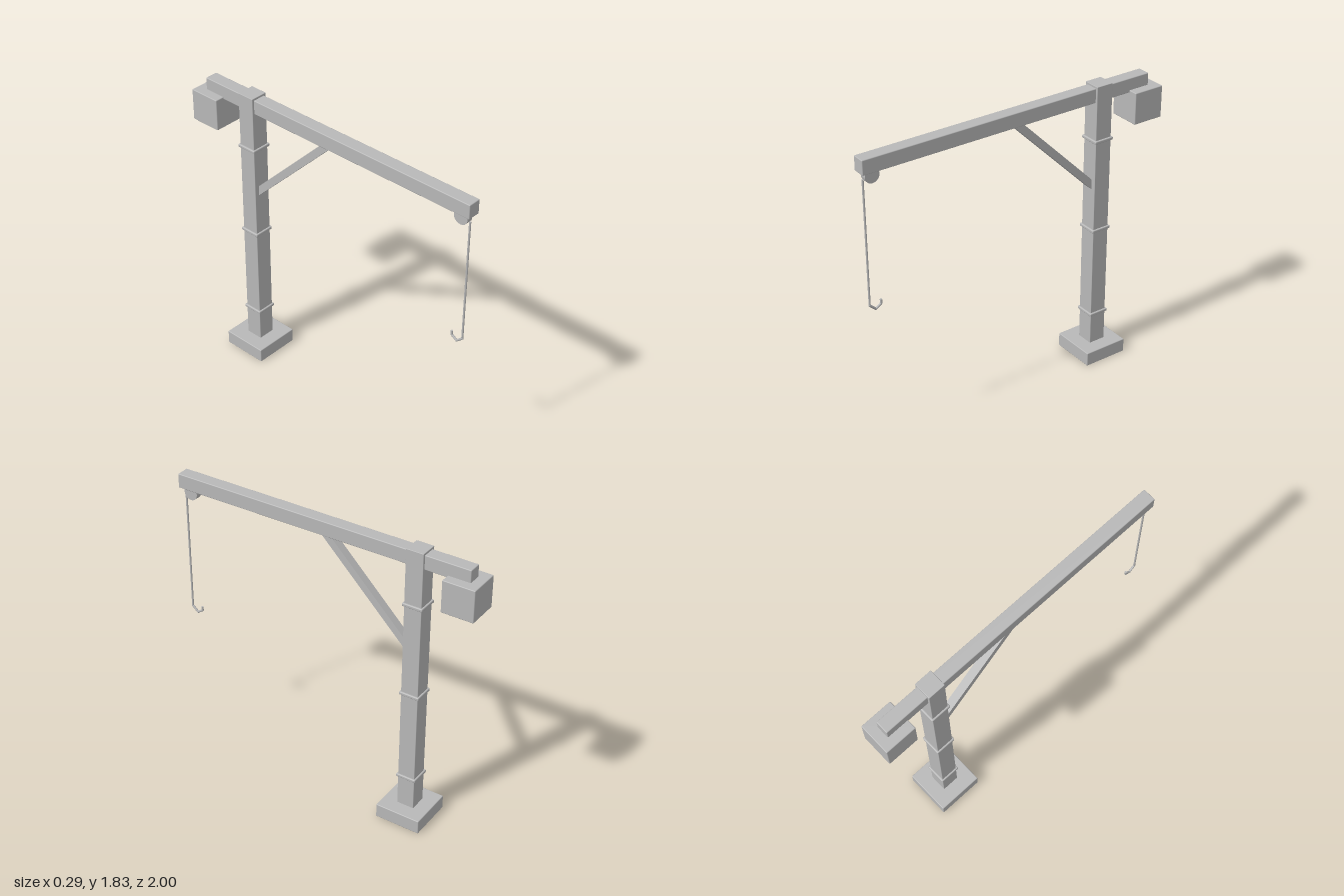
import * as THREE from 'three';
import { RoundedBoxGeometry } from 'three/addons/geometries/RoundedBoxGeometry.js';

export function createModel() {
  const model = new THREE.Group();
  model.name = 'craneHoist';
  const grey = new THREE.MeshStandardMaterial({ color: 0xb8b8b8 });
  grey.name = 'plainGrey';

  const add = (name, geometry, x = 0, y = 0, z = 0) => {
    const mesh = new THREE.Mesh(geometry, grey);
    mesh.name = name;
    mesh.position.set(x, y, z);
    model.add(mesh);
    return mesh;
  };
  // Softly bevelled box given by its y and z extents, centred on x
  const block = (name, width, y0, y1, z0, z1, bevel = 0.005) =>
    add(name, new RoundedBoxGeometry(width, y1 - y0, z1 - z0, 2, bevel), 0, (y0 + y1) / 2, (z0 + z1) / 2);

  // Main structure
  const postZ = -0.6;
  block('basePlate', 0.29, 0, 0.09, -0.745, -0.455);
  block('post', 0.11, 0.08, 1.825, -0.655, -0.545, 0.003);
  block('beam', 0.082, 1.722, 1.812, -0.935, 1);
  block('counterweight', 0.2, 1.537, 1.737, -0.995, -0.795);

  // Bands around the post
  for (const y of [0.297, 0.887, 1.477]) {
    block('postBand', 0.13, y - 0.01, y + 0.01, postZ - 0.065, postZ + 0.065, 0.006);
  }

  // Diagonal brace, cut flush with the post and the beam
  const outline = new THREE.Shape([
    [0.02, 1.725], [-0.045, 1.725], [-0.55, 1.22], [-0.55, 1.157],
  ].map(([z, y]) => new THREE.Vector2(z, y)));
  const brace = new THREE.ExtrudeGeometry(outline, { depth: 0.05, bevelEnabled: false });
  brace.translate(0, 0, -0.025).rotateY(-Math.PI / 2);
  add('diagonalBrace', brace);

  // Pulley under the beam tip
  const pulley = new THREE.CylinderGeometry(0.045, 0.045, 0.04, 24);
  pulley.rotateZ(Math.PI / 2);
  add('pulley', pulley, 0, 1.697, 0.93);

  // Hanging rope and angular hook
  add('rope', new THREE.CylinderGeometry(0.006, 0.006, 0.78, 10), 0, 1.29, 0.978);
  const bends = [[0.978, 0.9], [0.94, 0.866], [0.905, 0.89], [0.905, 0.917]]
    .map(([z, y]) => new THREE.Vector3(0, y, z));
  const up = new THREE.Vector3(0, 1, 0);
  for (let i = 0; i < bends.length; i++) {
    const a = bends[i], b = bends[i + 1];
    if (i < 3) {
      const dir = b.clone().sub(a);
      const mid = a.clone().add(b).multiplyScalar(0.5);
      const rod = add('hookSegment', new THREE.CylinderGeometry(0.007, 0.007, dir.length(), 10), 0, mid.y, mid.z);
      rod.quaternion.setFromUnitVectors(up, dir.normalize());
      add('hookJoint', new THREE.SphereGeometry(0.007, 10, 8), 0, a.y, a.z);
    }
  }
  return model;
}
